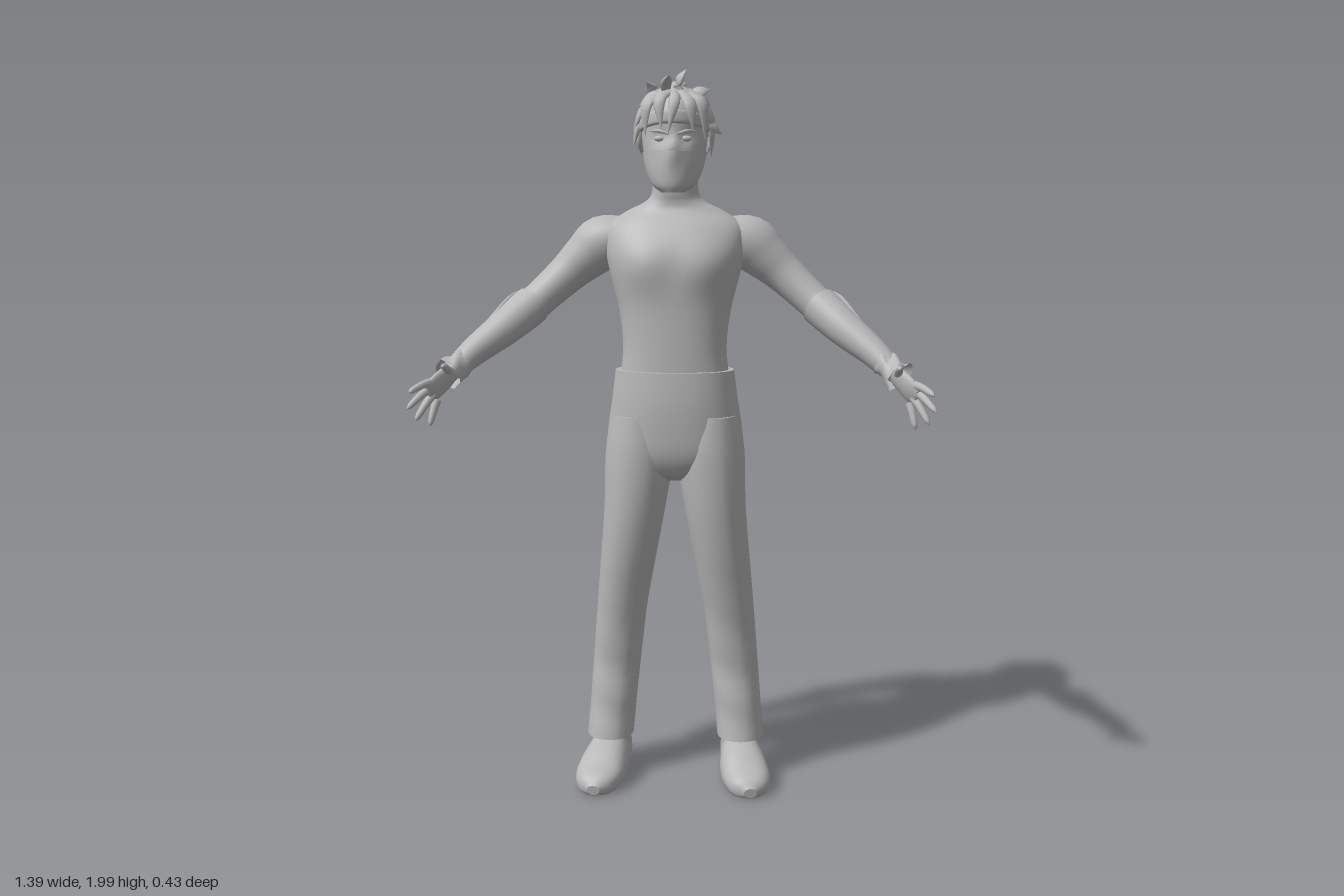
import * as THREE from 'three';

const grey = new THREE.MeshStandardMaterial({ color: 0xb8b8b8, side: THREE.DoubleSide });
grey.name = 'clay grey';

const V = (x, y, z) => new THREE.Vector3(x, y, z);

// Smooth skin through sections [x, y, z, r1, r2]; r2 lies along ref, r1 across it.
// flat keeps every section horizontal; rule moves each vertex.
function loft(secs, { ref = V(0, 0, 1), flat = false, seg = 24, sub = 4, p = 2, rule, caps = true } = {}) {
  const path = new THREE.CatmullRomCurve3(secs.map(s => V(s[0], s[1], s[2])), false, 'catmullrom');
  const radii = new THREE.CatmullRomCurve3(secs.map(s => V(s[3], s[4], 0)), false, 'catmullrom');
  const n = (secs.length - 1) * sub, pos = [], idx = [];
  const up = V(0, Math.sign(secs[secs.length - 1][1] - secs[0][1]), 0);
  const put = v => { if (rule) rule(v); pos.push(v.x, v.y, v.z); return pos.length / 3 - 1; };
  const pw = a => Math.sign(a) * Math.abs(a) ** (2 / p);
  const ring = i => {
    const c = path.getPoint(i / n), r = radii.getPoint(i / n);
    const t = flat ? up : path.getTangent(i / n);
    const b = ref.clone().addScaledVector(t, -ref.dot(t)).normalize();
    const s = b.clone().cross(t);
    for (let j = 0; j < seg; j++) {
      const a = j / seg * Math.PI * 2;
      put(c.clone().addScaledVector(s, pw(Math.cos(a)) * Math.max(r.x, 0.0005))
        .addScaledVector(b, pw(Math.sin(a)) * Math.max(r.y, 0.0005)));
    }
    return c;
  };
  for (let i = 0; i <= n; i++) ring(i);
  for (let i = 0; i < n; i++) for (let j = 0; j < seg; j++) {
    const k = (j + 1) % seg, a = i * seg + j, b = i * seg + k;
    idx.push(a, b, b + seg, a, b + seg, a + seg);
  }
  if (caps) for (const i of [0, n]) {
    const base = pos.length / 3, m = put(ring(i));
    for (let j = 0; j < seg; j++) {
      const a = base + j, b = base + (j + 1) % seg;
      if (i) idx.push(m, a, b); else idx.push(m, b, a);
    }
  }
  const g = new THREE.BufferGeometry();
  g.setAttribute('position', new THREE.Float32BufferAttribute(pos, 3));
  g.setIndex(idx);
  g.computeVertexNormals();
  return g;
}

// Horizontal body sections from [y, half width, front z, back z]
const rings = list => list.map(([y, rx, f, b]) => [0, y, (f + b) / 2, rx, (f - b) / 2]);
const bump = (d, w) => Math.exp(-((d / w) ** 2));

export function createModel() {
  const model = new THREE.Group();
  model.name = 'figure';
  const add = (name, geo, parent = model) => {
    const m = new THREE.Mesh(geo, grey);
    m.name = name;
    parent.add(m);
    return m;
  };
  const group = name => {
    const g = new THREE.Group();
    g.name = name;
    model.add(g);
    return g;
  };

  // Torso and neck, with chest muscles and a spine groove
  add('torso', loft(rings([
    [1.16, 0.152, 0.03, -0.165], [1.25, 0.144, 0.03, -0.172], [1.35, 0.155, 0.03, -0.19],
    [1.45, 0.18, 0.032, -0.208], [1.52, 0.193, 0.024, -0.215], [1.58, 0.188, -0.005, -0.214],
    [1.62, 0.135, -0.035, -0.2], [1.645, 0.085, -0.04, -0.18], [1.675, 0.064, -0.035, -0.165],
    [1.76, 0.062, -0.03, -0.16]]), {
    flat: true, seg: 48, p: 2.3, rule: v => {
      if (v.z > -0.04) v.z += 0.014 * bump(Math.abs(v.x) - 0.085, 0.07) * bump(v.y - 1.47, 0.06);
      if (v.z < -0.12 && v.y < 1.62) v.z += 0.014 * bump(v.x, 0.025);
    },
  }));

  // Trousers: hips and two legs
  const trousers = group('trousers');
  add('hips', loft(rings([
    [1.185, 0.165, 0.045, -0.175], [1.1, 0.176, 0.05, -0.198], [1.02, 0.188, 0.048, -0.22],
    [0.95, 0.188, 0.04, -0.212], [0.9, 0.13, 0.015, -0.17], [0.875, 0.06, -0.03, -0.12]]), {
    flat: true, seg: 40, p: 2.2, rule: v => {
      if (v.z < -0.1 && v.y < 1.1) v.z += 0.025 * bump(v.x, 0.03) * bump(v.y - 0.95, 0.1);
    },
  }), trousers);

  for (const k of [1, -1]) {
    const side = k > 0 ? 'left' : 'right';
    const mir = list => list.map(([x, ...r]) => [x * k, ...r]);

    add(side + 'Leg', loft(mir([
      [0.1, 1.06, -0.085, 0.08, 0.12], [0.1, 0.95, -0.086, 0.096, 0.13], [0.113, 0.8, -0.08, 0.087, 0.118],
      [0.133, 0.65, -0.09, 0.079, 0.106], [0.153, 0.5, -0.108, 0.072, 0.092], [0.168, 0.35, -0.116, 0.069, 0.077],
      [0.18, 0.22, -0.115, 0.067, 0.08], [0.189, 0.115, -0.112, 0.067, 0.088]]),
      { flat: true, p: 2.2, rule: v => { v.z += 0.004 * Math.sin(v.y * 45 + v.x * 20) * bump(v.y - 0.3, 0.2); } }), trousers);

    // Shoe with flat sole, and ankle shaft under the hem
    const shoe = group(side + 'Shoe');
    add('shoe', loft(mir([
      [0.182, 0.04, -0.2, 0.025, 0.03], [0.182, 0.05, -0.175, 0.05, 0.065], [0.188, 0.05, -0.1, 0.055, 0.08],
      [0.198, 0.045, -0.02, 0.066, 0.065], [0.21, 0.032, 0.04, 0.067, 0.045], [0.217, 0.022, 0.09, 0.05, 0.034],
      [0.22, 0.018, 0.115, 0.018, 0.014]]),
      { ref: V(0, 1, 0), p: 2.3, rule: v => { v.y = Math.max(v.y, 0); } }), shoe);
    add('ankle', loft(mir([[0.186, 0.03, -0.115, 0.054, 0.075], [0.188, 0.15, -0.115, 0.054, 0.075]]), { flat: true }), shoe);

    // Arm
    add(side + 'Arm', loft(mir([
      [0.12, 1.555, -0.125, 0.05, 0.07], [0.2, 1.533, -0.13, 0.076, 0.076], [0.25, 1.495, -0.13, 0.067, 0.068],
      [0.3, 1.45, -0.125, 0.056, 0.058], [0.36, 1.395, -0.105, 0.05, 0.052], [0.41, 1.35, -0.08, 0.048, 0.05],
      [0.47, 1.3, -0.03, 0.045, 0.046], [0.54, 1.245, 0.02, 0.037, 0.038], [0.6, 1.19, 0.075, 0.026, 0.028]])));

    // Forearm guard with pointed elbow plate and flared wrist cuff
    const guard = group(side + 'ForearmGuard');
    add('sleeve', loft(mir([
      [0.398, 1.362, -0.09, 0.054, 0.058], [0.42, 1.343, -0.072, 0.054, 0.056], [0.47, 1.3, -0.03, 0.049, 0.05],
      [0.54, 1.245, 0.02, 0.04, 0.042], [0.585, 1.203, 0.06, 0.032, 0.033]]), { caps: false }), guard);
    add('elbowPlate', loft(mir([
      [0.425, 1.4, -0.14, 0.004, 0.003], [0.455, 1.36, -0.095, 0.036, 0.012],
      [0.5, 1.31, -0.035, 0.03, 0.012], [0.555, 1.255, 0.015, 0.006, 0.006]]),
      { ref: V(0.6 * k, 0.4, -0.7), seg: 12 }), guard);
    add('wristCuff', loft(mir([
      [0.568, 1.218, 0.045, 0.034, 0.035], [0.59, 1.2, 0.068, 0.036, 0.038], [0.607, 1.184, 0.088, 0.043, 0.046]]),
      { caps: false, rule: v => { v.y += 0.006 * Math.sin(v.x * 160); } }), guard);

    // Hand with spread fingers
    const hand = group(side + 'Hand');
    const spread = V(0, 1, 0.5);
    add('palm', loft(mir([
      [0.592, 1.197, 0.067, 0.02, 0.026], [0.615, 1.172, 0.1, 0.016, 0.036], [0.635, 1.152, 0.13, 0.013, 0.037],
      [0.65, 1.138, 0.15, 0.008, 0.028]]), { ref: spread, seg: 16 }), hand);
    const fingers = {
      index: [0.64, 1.17, 0.14, 0.685, 1.15, 0.216], middle: [0.645, 1.152, 0.14, 0.693, 1.105, 0.206],
      ring: [0.64, 1.134, 0.132, 0.678, 1.07, 0.178], little: [0.632, 1.118, 0.12, 0.647, 1.052, 0.145],
      thumb: [0.603, 1.19, 0.09, 0.598, 1.218, 0.198],
    };
    for (const [name, [a, b, c, d, e, f]] of Object.entries(fingers)) {
      const at = (t, r) => [a + (d - a) * t, b + (e - b) * t + 0.016 * t * (1 - t), c + (f - c) * t, r, r];
      add(name + 'Finger', loft(mir([at(0, 0.012), at(0.4, 0.0105), at(0.85, 0.008), at(1, 0.002)]),
        { ref: spread, seg: 10 }), hand);
    }
  }

  // Head, mask, eyes and brows
  const head = group('head');
  add('skull', loft(rings([
    [1.675, 0.03, 0.05, -0.02], [1.695, 0.055, 0.056, -0.07], [1.73, 0.073, 0.058, -0.13],
    [1.78, 0.085, 0.05, -0.165], [1.83, 0.09, 0.043, -0.185], [1.88, 0.09, 0.042, -0.19],
    [1.92, 0.08, 0.02, -0.18], [1.945, 0.045, -0.02, -0.14]]), {
    flat: true, seg: 36, rule: v => {
      if (v.z > 0) v.z += 0.012 * bump(v.x, 0.013) * bump(v.y - 1.79, 0.02) - 0.008 * bump(Math.abs(v.x) - 0.035, 0.02) * bump(v.y - 1.812, 0.015);
    },
  }), head);
  add('mask', loft(rings([
    [1.67, 0.032, 0.052, -0.022], [1.69, 0.058, 0.06, -0.075], [1.73, 0.077, 0.062, -0.136], [1.778, 0.088, 0.057, -0.169]]), {
    flat: true, seg: 36, rule: v => { if (v.z > 0) v.z += 0.014 * bump(v.x, 0.02) * bump(v.y - 1.775, 0.035); },
  }), head);
  for (const k of [1, -1]) {
    const eye = new THREE.SphereGeometry(1, 16, 10).scale(0.016, 0.008, 0.008);
    add('eye', eye.translate(0.035 * k, 1.811, 0.03), head);
    add('brow', loft([[0.012 * k, 1.823, 0.046, 0.003, 0.004], [0.04 * k, 1.831, 0.038, 0.005, 0.005],
      [0.065 * k, 1.83, 0.013, 0.001, 0.001]], { seg: 8 }), head);
  }

  // Headband, lower at the back
  add('headband', loft(rings([
    [1.852, 0.092, 0.045, -0.19], [1.856, 0.099, 0.052, -0.196], [1.882, 0.098, 0.051, -0.196], [1.887, 0.09, 0.044, -0.19]]),
    { flat: true, seg: 40, rule: v => { v.y += (v.z - 0.05) * 0.22; } }), head);

  // Hair: cap plus overlapping pointed locks
  const hair = group('hair');
  add('hairCap', new THREE.SphereGeometry(1, 32, 18, 0, Math.PI * 2, 0, 1.5).rotateX(-0.45)
    .scale(0.098, 0.117, 0.122).translate(0, 1.84, -0.078), hair);
  const onHead = (az, el, k) => V(Math.sin(az) * Math.cos(el) * 0.097 * k, 1.84 + Math.sin(el) * 0.116 * k,
    -0.078 + Math.cos(az) * Math.cos(el) * 0.122 * k);
  const lock = (a, m, t, w) => add('hairLock', loft(
    [[a.x, a.y, a.z, w * 0.6, 0.006], [m.x, m.y, m.z, w, 0.009], [t.x, t.y, t.z, 0.001, 0.001]],
    { ref: m.clone().sub(V(0, 1.84, -0.078)).normalize(), seg: 8 }), hair);
  for (const [el, count, from, drop, w] of [[1.15, 7, 1.0, 0.7, 0.026], [0.7, 10, 1.1, 0.75, 0.024], [0.25, 10, 1.35, 0.8, 0.023]]) {
    for (let i = 0; i < count; i++) {
      const az = from + (Math.PI * 2 - 2 * from) * i / (count - 1), v = Math.sin(i * 2.4 + el * 9);
      const turn = (Math.PI - az) * 0.15, e = el + v * 0.08;
      lock(onHead(az, e, 0.98), onHead(az + turn * 0.5, e - drop * 0.5, 1.04),
        onHead(az + turn, e - drop - v * 0.1, 1.16 + v * 0.05), w);
    }
  }
  // Fringe, upright tufts and side tufts: base, middle, tip, width
  for (const [a, m, t, w] of [
    [[-0.01, 1.935, 0], [-0.035, 1.91, 0.05], [-0.03, 1.835, 0.06], 0.018],
    [[0, 1.935, 0], [0.005, 1.905, 0.058], [-0.012, 1.825, 0.066], 0.015],
    [[0.02, 1.935, 0], [0.045, 1.9, 0.045], [0.055, 1.83, 0.048], 0.018],
    [[-0.03, 1.93, -0.01], [-0.07, 1.9, 0.025], [-0.075, 1.82, 0.025], 0.02],
    [[0.04, 1.93, -0.01], [0.078, 1.9, 0.015], [0.085, 1.81, 0.015], 0.02],
    [[0.01, 1.93, -0.03], [0.015, 1.965, -0.01], [0.033, 1.992, -0.005], 0.018],
    [[-0.02, 1.93, -0.03], [-0.02, 1.96, 0], [-0.012, 1.975, 0.035], 0.018],
    [[-0.05, 1.92, -0.05], [-0.06, 1.945, -0.05], [-0.075, 1.962, -0.03], 0.02],
    [[0.05, 1.92, -0.05], [0.07, 1.94, -0.06], [0.095, 1.945, -0.08], 0.02],
    [[0.085, 1.87, -0.05], [0.105, 1.845, -0.05], [0.128, 1.825, -0.06], 0.018],
    [[-0.085, 1.87, -0.05], [-0.1, 1.84, -0.05], [-0.11, 1.795, -0.045], 0.018],
    [[0, 1.94, -0.06], [0.01, 1.962, -0.1], [0.02, 1.955, -0.17], 0.022]]) {
    lock(V(...a), V(...m), V(...t), w);
  }
  return model;
}
